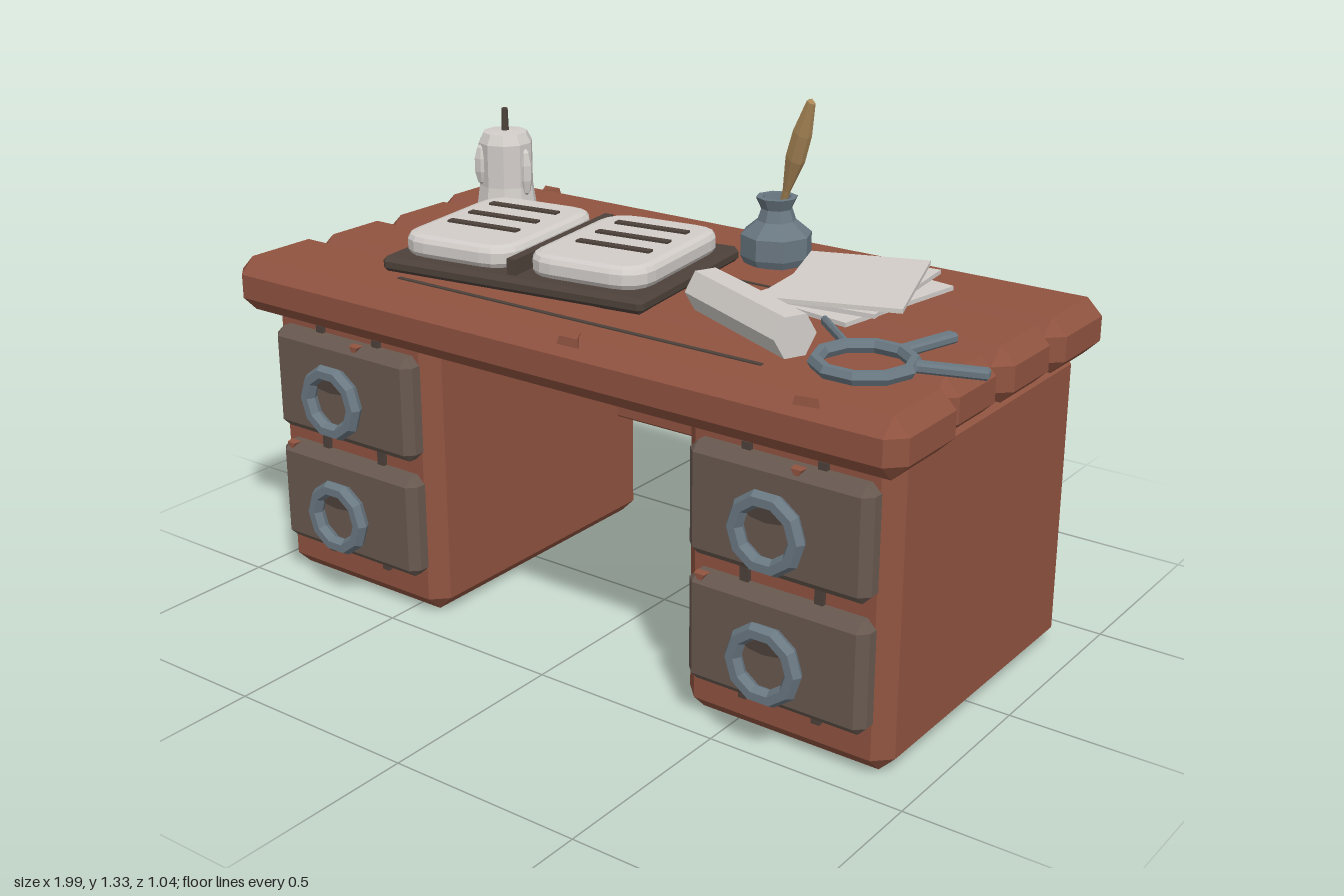
import * as THREE from 'three';
import { ConvexGeometry } from 'three/addons/geometries/ConvexGeometry.js';

const mat = (name, color) => new THREE.MeshStandardMaterial({ name, color });

// Faceted normals for a low-poly look
function flat(geo) {
  const g = geo.index ? geo.toNonIndexed() : geo;
  g.computeVertexNormals();
  return g;
}

// Box with all edges and corners chamfered by c
function chamferBox(w, h, d, c) {
  const pts = [];
  for (const sx of [-1, 1]) for (const sy of [-1, 1]) for (const sz of [-1, 1]) {
    const x = w / 2, y = h / 2, z = d / 2;
    pts.push(new THREE.Vector3(sx * x, sy * (y - c), sz * (z - c)));
    pts.push(new THREE.Vector3(sx * (x - c), sy * y, sz * (z - c)));
    pts.push(new THREE.Vector3(sx * (x - c), sy * (y - c), sz * z));
  }
  return new ConvexGeometry(pts);
}

export function createModel() {
  const wood = mat('red wood', 0x905340);
  const drawerWood = mat('drawer wood', 0x685950);
  const leather = mat('dark leather', 0x4e423b);
  const metal = mat('blue grey metal', 0x6a7882);
  const paper = mat('paper', 0xd2cdc9);
  const feather = mat('feather', 0xb8935f);

  const model = new THREE.Group();
  model.name = 'writingDesk';
  function add(parent, name, geo, material, x = 0, y = 0, z = 0) {
    const m = new THREE.Mesh(geo, material);
    m.name = name;
    m.position.set(x, y, z);
    parent.add(m);
    return m;
  }
  function group(name, x = 0, y = 0, z = 0, turn = 0) {
    const g = new THREE.Group();
    g.name = name;
    g.position.set(x, y, z);
    g.rotation.y = turn;
    model.add(g);
    return g;
  }
  // Box given by its limits
  function block(parent, name, material, x0, x1, y0, y1, z0, z1, c) {
    return add(parent, name, chamferBox(x1 - x0, y1 - y0, z1 - z0, c), material,
      (x0 + x1) / 2, (y0 + y1) / 2, (z0 + z1) / 2);
  }

  // Table top: four uneven planks
  const top = group('tableTop');
  [[-1, 0.945, -0.52, -0.248], [-0.97, 0.94, -0.25, 0.002],
    [-0.98, 0.935, 0.004, 0.25], [-1, 0.965, 0.24, 0.515]].forEach(([x0, x1, z0, z1]) =>
    block(top, 'plank', wood, x0, x1, 0.74, 0.882, z0, z1, 0.04));
  // Cracks and chips in the planks
  add(top, 'crack', new THREE.BoxGeometry(1.07, 0.006, 0.012), leather, 0.01, 0.882, 0.387).rotation.y = 0.006;
  add(top, 'crack', new THREE.BoxGeometry(0.18, 0.006, 0.008), leather, 0.18, 0.882, -0.09);
  for (const [x, z, turn] of [[0.1, 0.485, 0], [0.73, 0.485, 0.2], [-0.78, -0.495, Math.PI], [-0.78, 0.025, Math.PI]]) {
    const chip = add(top, 'chip', flat(new THREE.CylinderGeometry(0.03, 0.036, 0.02, 3)), wood, x, 0.876, z);
    chip.rotation.y = turn + Math.PI;
  }

  // Pedestals with two drawers each
  const ringGeo = flat(new THREE.TorusGeometry(0.08, 0.021, 6, 10));
  for (const [x0, x1, dx] of [[-0.96, -0.4, -0.675], [0.36, 0.915, 0.64]]) {
    const p = group('pedestal');
    block(p, 'cabinet', wood, x0, x1, 0, 0.78, -0.43, 0.425, 0.04);
    for (const s of [-1, 1])
      add(p, 'strap', new THREE.BoxGeometry(0.022, 0.63, 0.02), leather, dx + s * 0.098, 0.405, 0.427);
    for (const y of [0.565, 0.248]) {
      block(p, 'drawer', drawerWood, dx - 0.237, dx + 0.237, y - 0.137, y + 0.137, 0.4, 0.472, 0.022);
      add(p, 'drawerRing', ringGeo, metal, dx, y - 0.012, 0.502);
      const knob = add(p, 'ringMount', flat(new THREE.CylinderGeometry(0.055, 0.055, 0.04, 8)), leather, dx, y + 0.03, 0.485);
      knob.rotation.x = Math.PI / 2;
      knob.scale.z = 0.3;
      const chip = add(p, 'drawerChip', flat(new THREE.CylinderGeometry(0.016, 0.02, 0.02, 3)), wood,
        dx + (y > 0.4 ? 0.05 : -0.2), y + 0.128, 0.455);
      chip.rotation.x = Math.PI / 2;
    }
  }
  block(model, 'backPanel', wood, -0.42, 0.38, 0.32, 0.78, -0.385, -0.32, 0.006);

  // Open book
  const book = group('openBook', -0.27, 0, 0.067, 0.135);
  add(book, 'cover', chamferBox(0.745, 0.04, 0.515, 0.012), leather, 0, 0.9, 0);
  add(book, 'spine', new THREE.BoxGeometry(0.025, 0.05, 0.47), leather, 0, 0.935, 0);
  const a = 0.14, b = 0.2, r = 0.06;
  const page = new THREE.Shape();
  page.moveTo(-a + r, -b).lineTo(a - r, -b).quadraticCurveTo(a, -b, a, -b + r)
    .lineTo(a, b - r).quadraticCurveTo(a, b, a - r, b)
    .lineTo(-a + r, b).quadraticCurveTo(-a, b, -a, b - r)
    .lineTo(-a, -b + r).quadraticCurveTo(-a, -b, -a + r, -b);
  const pageGeo = new THREE.ExtrudeGeometry(page, {
    depth: 0.026, bevelThickness: 0.016, bevelSize: 0.024, bevelSegments: 2, curveSegments: 4 });
  pageGeo.rotateX(-Math.PI / 2);
  for (const s of [-1, 1]) {
    add(book, 'pages', pageGeo, paper, s * 0.184, 0.933, 0);
    for (const z of [-0.122, -0.026, 0.067])
      add(book, 'writtenLine', new THREE.BoxGeometry(0.205, 0.009, 0.022), leather, s * 0.19, 0.976, z);
  }

  // Candle with wax drips
  const candle = group('candle', -0.78, 0, -0.31);
  const wax = [[0, 0.88], [0.085, 0.88], [0.076, 0.94], [0.076, 1.06], [0.062, 1.088], [0, 1.092]]
    .map(([x, y]) => new THREE.Vector2(x, y));
  add(candle, 'wax', flat(new THREE.LatheGeometry(wax, 10)), paper);
  for (const [t, y, h] of [[0, 0.98, 0.07], [2.1, 1.0, 0.06], [3.2, 0.985, 0.065], [4.7, 0.99, 0.05]]) {
    const drip = add(candle, 'drip', flat(new THREE.SphereGeometry(1, 6, 5)), paper,
      0.07 * Math.cos(t), y, 0.07 * Math.sin(t));
    drip.scale.set(0.022, h, 0.022);
  }
  add(candle, 'wick', flat(new THREE.CylinderGeometry(0.009, 0.011, 0.07, 6)), leather, 0, 1.118, 0);

  // Inkwell and quill
  const ink = group('inkwell', 0.137, 0, -0.29);
  const well = [[0, 0.88], [0.082, 0.88], [0.092, 0.9], [0.092, 0.955], [0.05, 0.99], [0.04, 1.02],
    [0.054, 1.05], [0.038, 1.05], [0.03, 1.02], [0, 1.02]].map(([x, y]) => new THREE.Vector2(x, y));
  add(ink, 'bottle', flat(new THREE.LatheGeometry(well, 8)), metal);
  const vane = [[0, 0], [0.008, 0.01], [0.011, 0.07], [0.027, 0.17], [0.026, 0.25], [0.012, 0.345], [0, 0.355]]
    .map(([x, y]) => new THREE.Vector2(x, y));
  const quillGeo = new THREE.LatheGeometry(vane, 6);
  quillGeo.scale(1, 1, 0.7);
  const quill = add(ink, 'quill', flat(quillGeo), feather, 0.008, 1.01, -0.006);
  quill.quaternion.setFromUnitVectors(new THREE.Vector3(0, 1, 0), new THREE.Vector3(0.135, 0.32, 0.08).normalize());

  // Loose sheets
  const sheets = group('looseSheets', 0.445, 0, -0.155);
  [[-0.16, 0.89, 0, 0], [0.12, 0.906, -0.01, -0.01], [0.35, 0.922, 0.01, 0.006]].forEach(([turn, y, x, z]) => {
    add(sheets, 'sheet', new THREE.BoxGeometry(0.3, 0.011, 0.4), paper, x, y, z).rotation.y = turn;
  });

  // Rolled scroll
  const scroll = group('scroll', 0.41, 0.938, 0.237, -0.43);
  const roll = flat(new THREE.CylinderGeometry(0.055, 0.055, 0.39, 6));
  roll.rotateZ(Math.PI / 2);
  add(scroll, 'roll', roll, paper);

  // Key ring with three keys
  const keys = group('keyRing');
  const hoop = flat(new THREE.TorusGeometry(0.108, 0.017, 6, 10));
  hoop.rotateX(Math.PI / 2);
  add(keys, 'hoop', hoop, metal, 0.735, 0.899, 0.272);
  for (const [x0, z0, x1, z1, w] of [[0.765, 0.17, 0.81, 0.01, 0.034], [0.835, 0.235, 0.99, 0.185, 0.032],
    [0.645, 0.2, 0.515, 0.085, 0.018]]) {
    const key = add(keys, 'key', chamferBox(Math.hypot(x1 - x0, z1 - z0), 0.024, w, 0.006), metal,
      (x0 + x1) / 2, 0.899, (z0 + z1) / 2);
    key.rotation.y = -Math.atan2(z1 - z0, x1 - x0);
  }
  return model;
}
